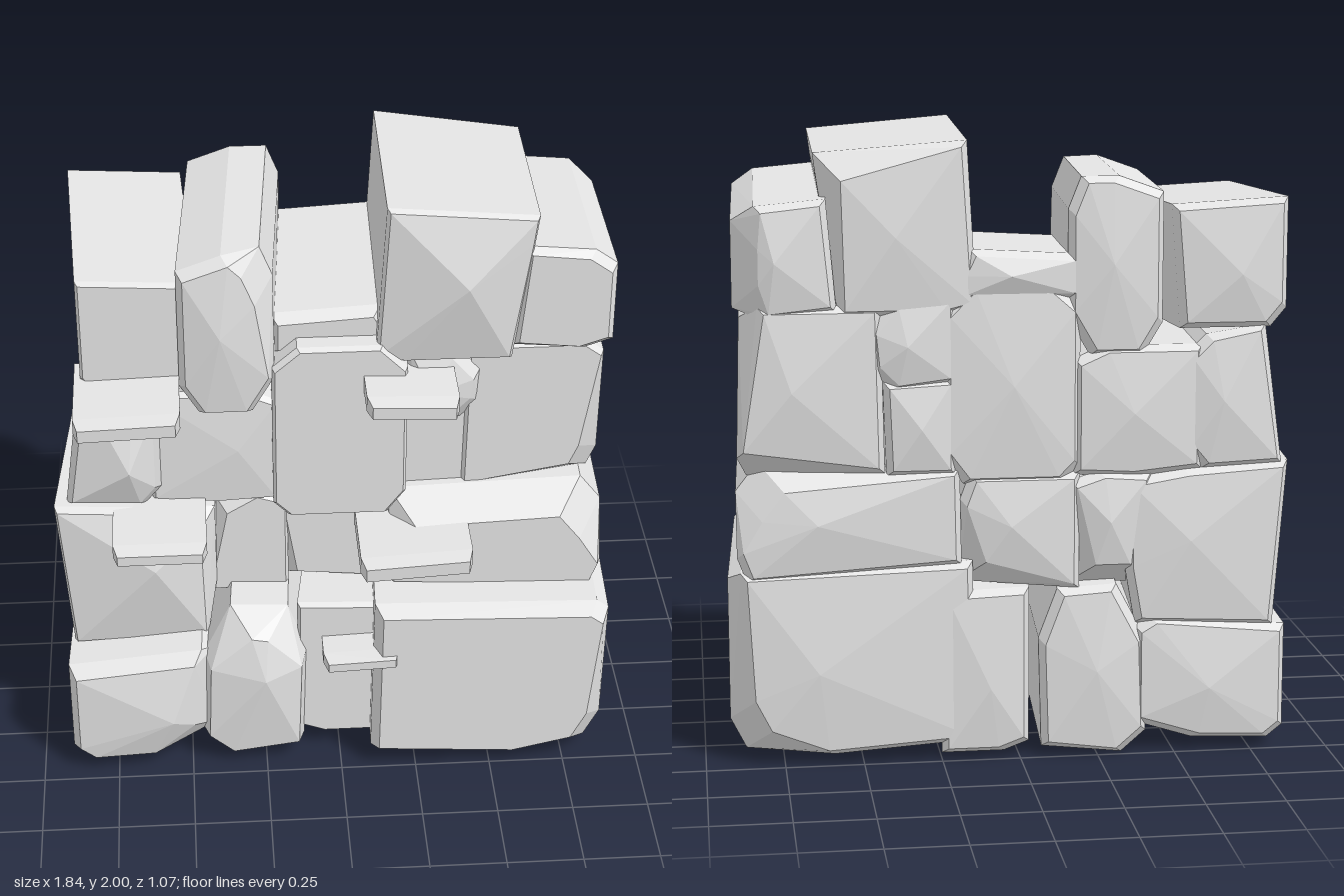
import * as THREE from 'three';
import { ConvexGeometry } from 'three/addons/geometries/ConvexGeometry.js';

const stoneGrey = new THREE.MeshStandardMaterial({ color: 0xe4e4e4 });
stoneGrey.name = 'stone grey';

// A rough stone: an outline run from back to front. The back end may shift by
// dx, dy; chips lists corners of the outline that are knocked off at the front,
// backChips the same at the back; peak is a bulge on the front face.
function stone(name, outline, front, o = {}) {
  const { back = -0.5, rim = 0.01, depth = 0.02, dx = 0, dy = 0, chips = [], chip = 0.08, backChips = [], peak } = o;
  const n = outline.length;
  const cx = outline.reduce((s, p) => s + p[0], 0) / n;
  const cy = outline.reduce((s, p) => s + p[1], 0) / n;
  const points = [];
  const add = (x, y, z, inset, sx, sy) => {
    const ax = Math.sign(cx - x) * Math.min(inset, Math.abs(cx - x));
    const ay = Math.sign(cy - y) * Math.min(inset, Math.abs(cy - y));
    points.push(new THREE.Vector3(x + ax + sx, y + ay + sy, z));
  };
  outline.forEach(([x, y], i) => {
    const chipped = chips.includes(i);
    const backChipped = backChips.includes(i);
    add(x, y, front, chipped ? chip : rim, 0, 0);
    add(x, y, front - (chipped ? chip * 1.5 : depth), 0, 0, 0);
    add(x, y, back + (backChipped ? 0.1 : 0.03), 0, dx, dy);
    add(x, y, back, backChipped ? 0.08 : 0.02, dx, dy);
  });
  if (peak) points.push(new THREE.Vector3(...peak));
  points.push(new THREE.Vector3(cx + dx, cy + dy, back - 0.025));
  const mesh = new THREE.Mesh(new ConvexGeometry(points), stoneGrey);
  mesh.name = name;
  return mesh;
}

// A thin wedge-shaped ledge sticking out of the wall.
function ledge(name, x0, x1, y0, y1, z1, tilt = 0) {
  const points = [];
  const m = (y0 + y1) / 2;
  for (const [x, s] of [[x0, -1], [x1, 1]]) {
    const t = s * tilt;
    for (const y of [y0, y1]) {
      points.push(new THREE.Vector3(x, y + t, 0.15));
      points.push(new THREE.Vector3(x, y + t, z1 - 0.06));
      points.push(new THREE.Vector3(x - s * 0.015, m + (y - m) * 0.75 + t, z1));
    }
  }
  const mesh = new THREE.Mesh(new ConvexGeometry(points), stoneGrey);
  mesh.name = name;
  return mesh;
}

export function createModel() {
  const wall = new THREE.Group();
  wall.name = 'stoneWall';

  wall.add(
    // Bottom course
    stone('bottomLeftCornerStone', [[0.1, 0.06], [0.55, 0.03], [0.83, 0.04], [0.88, 0.14], [0.88, 0.6], [0.84, 0.63], [0.11, 0.65]],
      0.51, { dx: 0.04, rim: 0.025, depth: 0.06, chips: [2, 3], chip: 0.06, backChips: [2, 3, 4] }),
    stone('bottomRightCornerStone', [[-0.9, 0.07], [-0.85, 0.03], [-0.6, 0.04], [-0.41, 0.1], [-0.41, 0.42], [-0.46, 0.45], [-0.9, 0.41]],
      0.46, { dx: 0.04, rim: 0.025, depth: 0.06, peak: [-0.56, 0.22, 0.5], chips: [3, 4] }),
    stone('bottomTallStone', [[-0.46, 0.1], [-0.38, 0.03], [-0.12, 0.06], [-0.11, 0.42], [-0.17, 0.58], [-0.36, 0.59], [-0.45, 0.42]],
      0.45, { rim: 0.02, depth: 0.08, dy: -0.03, dx: 0.05, peak: [-0.25, 0.37, 0.49], chips: [4, 5], chip: 0.07 }),
    stone('bottomMiddleStone', [[-0.14, 0.09], [-0.06, 0.06], [0.14, 0.06], [0.14, 0.59], [-0.14, 0.6]],
      0.38, { dx: 0.11, dy: -0.04 }),

    // Second course
    stone('secondLeftStone', [[0.165, 0.64], [0.84, 0.6], [0.87, 0.68], [0.87, 0.88], [0.8, 0.97], [0.17, 0.95]],
      0.34, { dx: 0.02, rim: 0.015, depth: 0.05, chips: [3, 4, 5], chip: 0.08, backChips: [3, 4] }),
    stone('secondRightStone', [[-0.88, 0.41], [-0.43, 0.43], [-0.4, 0.6], [-0.4, 0.9], [-0.58, 0.93], [-0.92, 0.95]],
      0.29, { dx: 0.06, depth: 0.03, peak: [-0.6, 0.73, 0.345], chips: [2, 3], chip: 0.05 }),
    stone('secondMiddleRightStone', [[-0.43, 0.55], [-0.16, 0.55], [-0.16, 0.9], [-0.25, 0.93], [-0.42, 0.92]],
      0.21, { chips: [4], chip: 0.06, backChips: [0, 1] }),
    stone('secondMiddleLeftStone', [[-0.19, 0.55], [0.19, 0.57], [0.19, 0.85], [0.16, 0.93], [-0.19, 0.93]],
      0.2, { chips: [0], chip: 0.06, backChips: [1] }),

    // Third course
    stone('thirdLeftStone', [[0.41, 0.94], [0.84, 0.93], [0.87, 1.0], [0.855, 1.43], [0.8, 1.47], [0.42, 1.47]],
      0.21, { dx: 0.015, chips: [1, 2], chip: 0.08, backChips: [1, 3] }),
    stone('thirdRightStone', [[-0.88, 0.94], [-0.62, 0.93], [-0.57, 0.99], [-0.57, 1.3], [-0.63, 1.36], [-0.82, 1.39]],
      0.26, { dx: 0.04, rim: 0.02, depth: 0.04, peak: [-0.67, 1.1, 0.32] }),
    stone('thirdMiddleRightStone', [[-0.6, 0.93], [-0.4, 0.91], [-0.19, 0.92], [-0.19, 1.29], [-0.28, 1.33], [-0.6, 1.33]],
      0.22, { dx: 0.02, peak: [-0.32, 1.12, 0.235] }),
    stone('centreStone', [[-0.21, 0.95], [-0.16, 0.9], [0.16, 0.9], [0.22, 0.98], [0.22, 1.45], [0.14, 1.53], [-0.13, 1.53], [-0.21, 1.46]],
      0.3, { dx: 0.02 }),
    stone('smallLowerStone', [[0.2, 0.93], [0.42, 0.93], [0.43, 1.23], [0.2, 1.24]], 0.19),
    stone('smallUpperStone', [[0.2, 1.22], [0.4, 1.2], [0.46, 1.26], [0.47, 1.4], [0.4, 1.48], [0.2, 1.5]],
      0.24, { rim: 0.035, depth: 0.05, peak: [0.3, 1.34, 0.28] }),

    // Top course
    stone('topLeftStone', [[0.55, 1.5], [0.78, 1.48], [0.87, 1.51], [0.87, 1.78], [0.8, 1.83], [0.58, 1.85]],
      0.28, { dx: 0.02, dy: -0.05, rim: 0.02, depth: 0.03, backChips: [2, 3] }),
    stone('topTallStone', [[0.12, 1.48], [0.2, 1.46], [0.55, 1.46], [0.61, 1.88], [0.62, 1.96], [0.15, 2.0]],
      0.28, { peak: [0.4, 1.75, 0.345], dx: 0.015, dy: -0.025, backChips: [3, 4] }),
    stone('topMiddleStone', [[-0.21, 1.46], [0.17, 1.46], [0.17, 1.55], [0.14, 1.62], [-0.21, 1.6]],
      0.22, { rim: 0.025, depth: 0.04, dx: 0.02, dy: 0.02 }),
    stone('topColumnStone', [[-0.5, 1.4], [-0.44, 1.3], [-0.27, 1.3], [-0.2, 1.42], [-0.2, 1.76], [-0.24, 1.86], [-0.36, 1.86], [-0.5, 1.81]],
      0.31, { rim: 0.02, depth: 0.04, dx: 0.05, peak: [-0.37, 1.6, 0.34], chips: [4, 5], chip: 0.06 }),
    stone('topRightStone', [[-0.81, 1.42], [-0.76, 1.36], [-0.47, 1.36], [-0.44, 1.75], [-0.81, 1.77]],
      0.26, { dx: -0.035, dy: 0.02 }),
  );

  // Thin ledges
  wall.add(
    ledge('upperLedge', 0.08, 0.37, 1.37, 1.425, 0.48, -0.005),
    ledge('upperRightLedge', -0.83, -0.5, 1.37, 1.425, 0.54, 0.005),
    ledge('middleRightLedge', -0.73, -0.43, 0.89, 0.935, 0.53),
    ledge('middleLedge', 0.06, 0.42, 0.81, 0.87, 0.545, 0.01),
    ledge('lowerLedge', -0.06, 0.19, 0.435, 0.475, 0.53, 0.005),
  );
  return wall;
}
